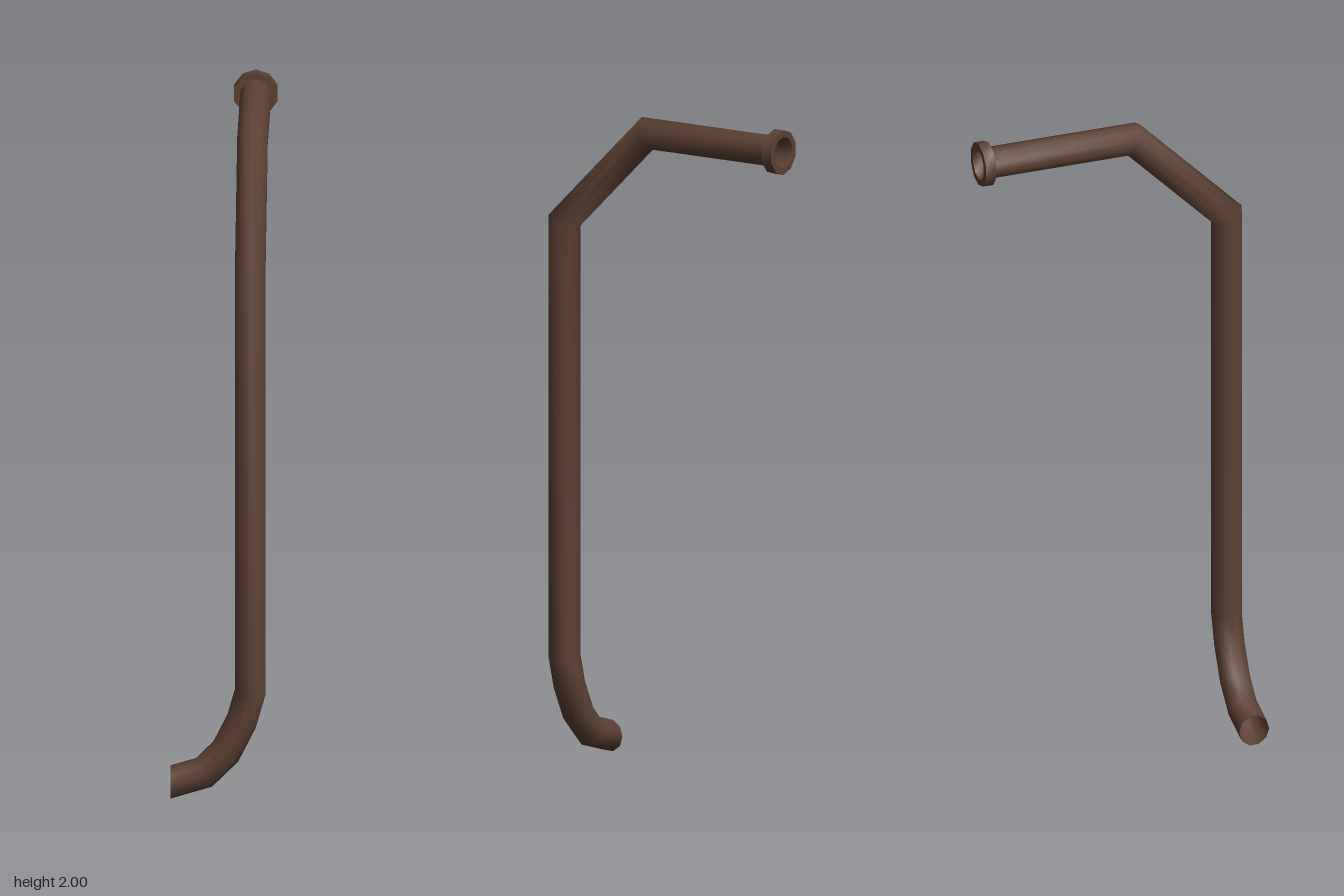
import * as THREE from 'three';
import { toCreasedNormals } from 'three/addons/utils/BufferGeometryUtils.js';

const SIDES = 10;

// Open pipe with mitred joints: the outline slides along each leg to the next joint plane
function mitredPipe(path, radius, endNormal) {
  const dirs = path.slice(1).map((p, i) => p.clone().sub(path[i]).normalize());
  const positions = [];
  const index = [];
  // First ring stands in the xy plane, since the pipe starts along +z
  let ring = Array.from({ length: SIDES }, (_, j) => {
    const a = Math.PI / 2 + (j / SIDES) * Math.PI * 2;
    return new THREE.Vector3(Math.cos(a) * radius, Math.sin(a) * radius, 0).add(path[0]);
  });
  path.forEach((centre, i) => {
    if (i > 0) {
      const d = dirs[i - 1];
      const normal = i < dirs.length ? d.clone().add(dirs[i]).normalize() : endNormal;
      ring = ring.map((p) => {
        const t = centre.clone().sub(p).dot(normal) / d.dot(normal);
        return p.clone().addScaledVector(d, t);
      });
    }
    ring.forEach((p, j) => {
      positions.push(p.x, p.y, p.z);
      if (i === path.length - 1) return;
      const a = i * SIDES + j;
      const b = i * SIDES + ((j + 1) % SIDES);
      index.push(a, b, a + SIDES, b, b + SIDES, a + SIDES);
    });
  });
  const geometry = new THREE.BufferGeometry();
  geometry.setAttribute('position', new THREE.Float32BufferAttribute(positions, 3));
  geometry.setIndex(index);
  geometry.computeVertexNormals();
  return geometry;
}

export function createModel() {
  const group = new THREE.Group();
  group.name = 'drainpipe';
  const brown = new THREE.MeshStandardMaterial({ color: 0x5c4033, side: THREE.DoubleSide });
  brown.name = 'brown';

  // Pipe: top run, slope, long drop, then the curved outlet
  const path = [
    [0.083, 1.933, -0.4],
    [0.083, 1.933, 0.07],
    [0.083, 1.637, 0.364],
    [0.083, 0.33, 0.364],
    [0.057, 0.238, 0.364],
    [0.011, 0.145, 0.364],
    [-0.053, 0.08, 0.364],
    [-0.151, 0.05, 0.364],
  ].map((p) => new THREE.Vector3(...p));
  const pipe = new THREE.Mesh(mitredPipe(path, 0.047, new THREE.Vector3(-1, 0, 0)), brown);
  pipe.name = 'pipe';
  group.add(pipe);

  // Collar around the open upper end
  const profile = [
    [0.067, -0.016], [0.067, 0.016], [0.047, 0.016], [0.047, -0.016], [0.067, -0.016],
  ].map((p) => new THREE.Vector2(...p));
  const collarGeometry = toCreasedNormals(new THREE.LatheGeometry(profile, SIDES), 0.9);
  collarGeometry.rotateX(Math.PI / 2);
  const collar = new THREE.Mesh(collarGeometry, brown);
  collar.name = 'collar';
  collar.position.set(0.083, 1.933, -0.397);
  group.add(collar);

  return group;
}
